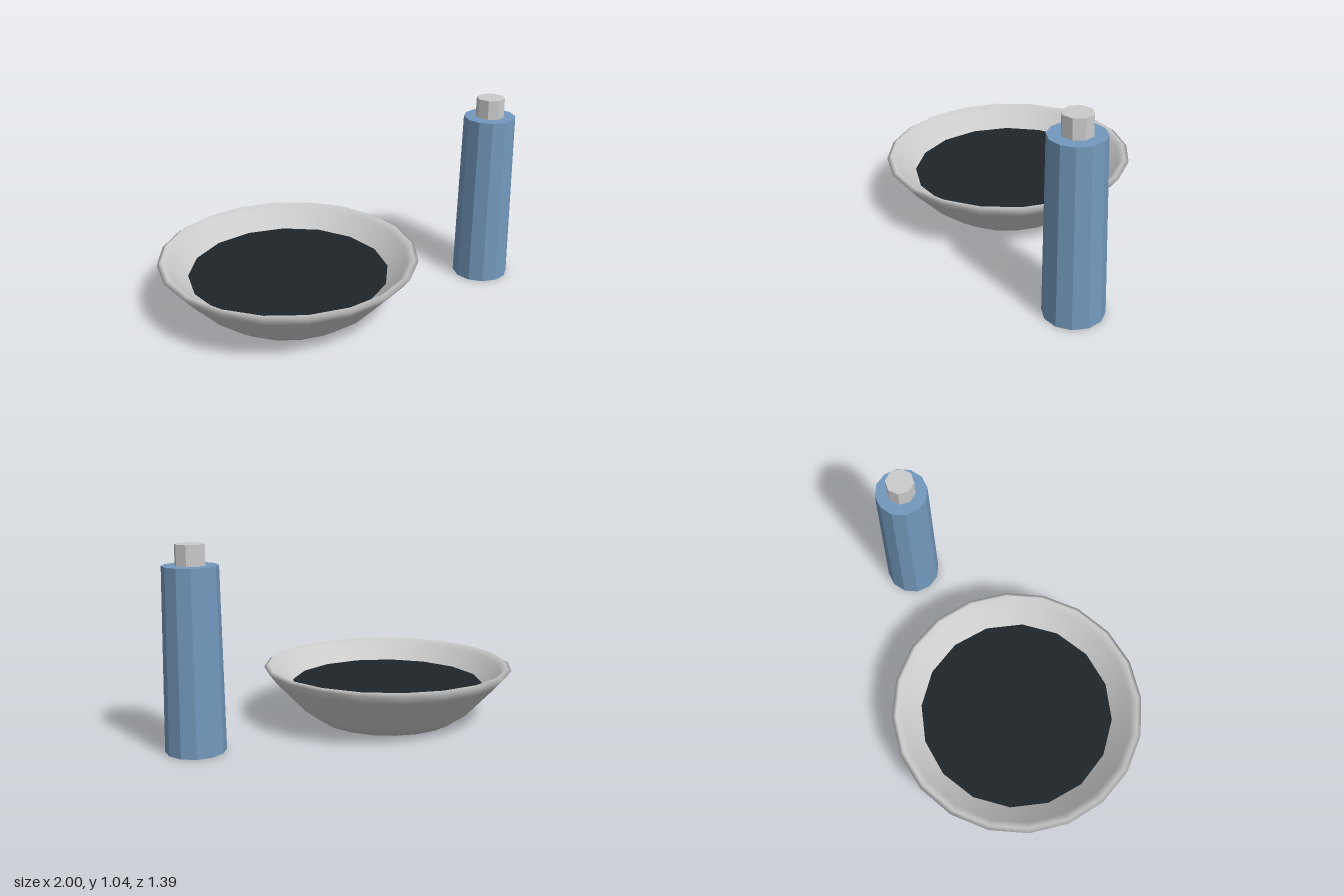
import * as THREE from 'three';

const mat = (color, flatShading = false) =>
  new THREE.MeshStandardMaterial({ color, flatShading });

function addPart(parent, name, geometry, material, x, y, z) {
  const mesh = new THREE.Mesh(geometry, material);
  mesh.name = name;
  mesh.position.set(x, y, z);
  parent.add(mesh);
  return mesh;
}

export function createModel() {
  const model = new THREE.Group();
  model.name = 'bowlAndBottle';

  // Bowl: one closed profile, underside -> outer wall -> rim -> inner wall
  const bowl = new THREE.Group();
  bowl.name = 'bowl';
  bowl.position.set(-0.307, 0, 0);
  model.add(bowl);
  const profile = [
    [0, 0], [0.385, 0], [0.49, 0.075], [0.655, 0.25], [0.693, 0.298],
    [0.67, 0.312], [0.635, 0.285], [0.47, 0.115], [0.37, 0.06], [0, 0.05],
  ].map(([r, y]) => new THREE.Vector2(r, y));
  addPart(bowl, 'bowlShell', new THREE.LatheGeometry(profile, 20), mat(0xcccccc), 0, 0, 0);

  // Dark liquid surface filling the bowl
  const liquid = new THREE.CircleGeometry(0.537, 16).rotateX(-Math.PI / 2);
  addPart(bowl, 'liquid', liquid, mat(0x1e2428), 0, 0.2, 0);

  // Tapered bottle with a small faceted cap
  const bottle = new THREE.Group();
  bottle.name = 'bottle';
  bottle.position.set(0.845, 0, 0.173);
  model.add(bottle);
  addPart(bottle, 'bottleBody', new THREE.CylinderGeometry(0.14, 0.155, 0.94, 12),
    mat(0x7399bd, true), 0, 0.47, 0);
  addPart(bottle, 'bottleCap', new THREE.CylinderGeometry(0.076, 0.076, 0.105, 8),
    mat(0xcccccc, true), 0, 0.9925, 0);

  return model;
}
